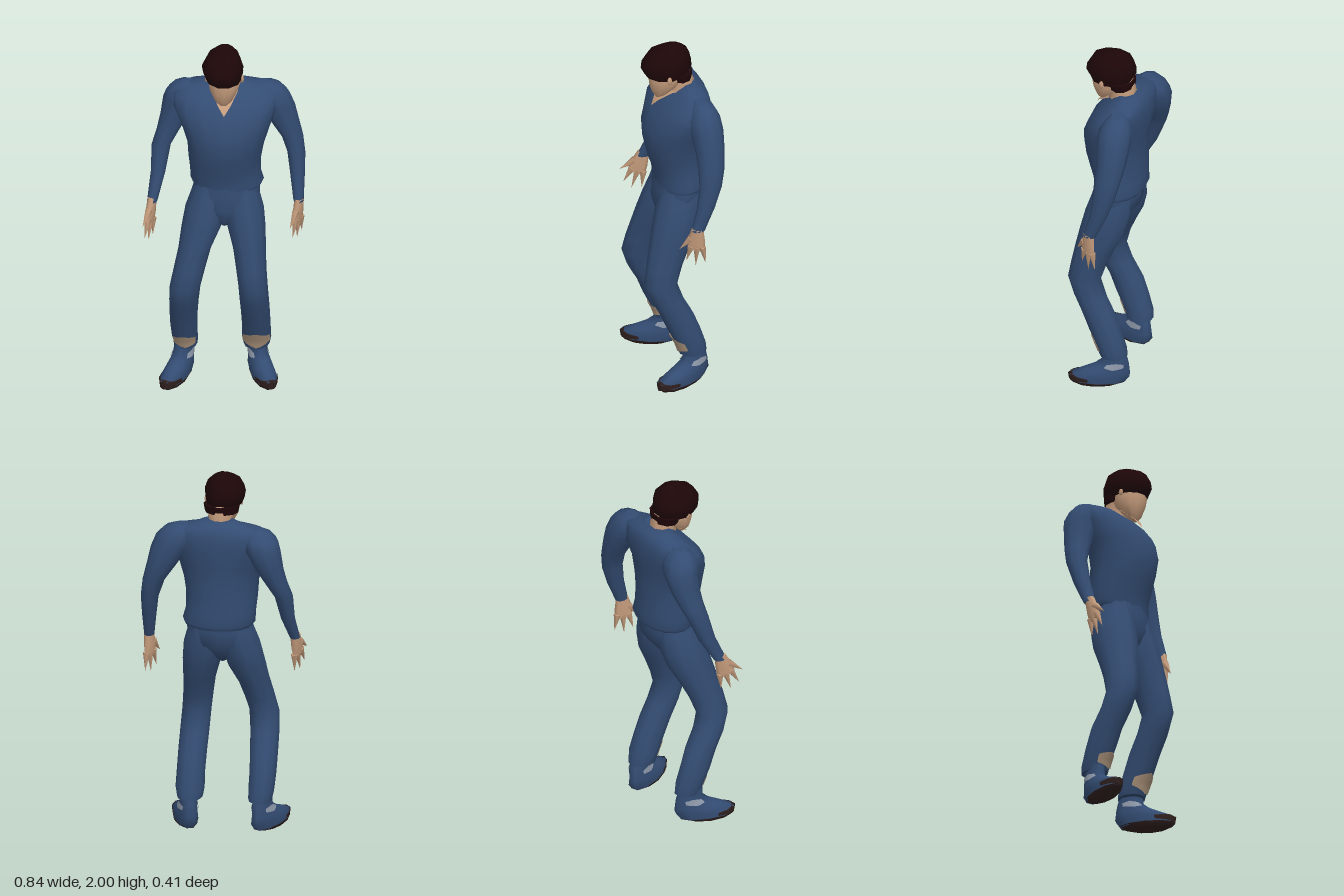
import * as THREE from 'three';
import { ParametricGeometry } from 'three/addons/geometries/ParametricGeometry.js';

const mat = (name, color, side = THREE.FrontSide) => {
  const m = new THREE.MeshStandardMaterial({ color, side });
  m.name = name;
  return m;
};
const TAU = Math.PI * 2, FRONT = Math.PI / 2;

// Point on an oval ring [y, cx, cz, rx, rz, squareness]
function onRing([y, cx, cz, rx, rz, p = 1], a, grow = 0) {
  const c = Math.cos(a), s = Math.sin(a);
  return [cx + Math.sign(c) * Math.abs(c) ** p * (rx + grow), y, cz + Math.sign(s) * Math.abs(s) ** p * (rz + grow)];
}

// Closed smooth skin over rings listed bottom to top, with flat end caps
function loft(rings, sides = 10) {
  const pos = [], idx = [];
  for (const r of rings) for (let j = 0; j < sides; j++) pos.push(...onRing(r, TAU * j / sides));
  for (let i = 0; i < rings.length - 1; i++) {
    for (let j = 0; j < sides; j++) {
      const k = (j + 1) % sides, a = i * sides, b = a + sides;
      idx.push(a + j, b + j, a + k, b + j, b + k, a + k);
    }
  }
  [rings[0], rings[rings.length - 1]].forEach((r, top) => {
    const c = pos.length / 3;
    pos.push(r[1], r[0], r[2]);
    for (let j = 0; j < sides; j++) pos.push(...onRing(r, TAU * j / sides));
    for (let j = 0; j < sides; j++) {
      const p = c + 1 + j, q = c + 1 + (j + 1) % sides;
      idx.push(c, top ? q : p, top ? p : q);
    }
  });
  const g = new THREE.BufferGeometry();
  g.setAttribute('position', new THREE.Float32BufferAttribute(pos, 3));
  g.setIndex(idx);
  g.computeVertexNormals();
  return g;
}

// Thin patch lying on a loft, tapering in height towards its two sides by `taper`
function patch(rings, angle, half, y0, y1, taper, grow = .004) {
  return new ParametricGeometry((u, v, target) => {
    const h = 1 - taper * Math.abs(2 * u - 1);
    const y = (y0 + y1) / 2 + (v - .5) * (y1 - y0) * h;
    let i = 0;
    while (i < rings.length - 2 && rings[i + 1][0] < y) i++;
    const t = (y - rings[i][0]) / (rings[i + 1][0] - rings[i][0]);
    const ring = rings[i].map((n, k) => n + (rings[i + 1][k] - n) * t);
    target.set(...onRing(ring, angle + (2 * u - 1) * half, grow));
  }, 6, 4);
}

export function createModel() {
  const root = new THREE.Group();
  const blue = mat('blue cloth', 0x334c72);
  const skin = mat('skin', 0xc69d7d);
  const hairMat = mat('dark hair', 0x1d0608);
  const soleMat = mat('brown sole', 0x30211f, THREE.DoubleSide);
  const shin = mat('bare shin', 0xa99179, THREE.DoubleSide);
  const grey = mat('grey sock', 0x8d97a8, THREE.DoubleSide);
  const add = (name, geo, material, parent = root) => {
    const m = new THREE.Mesh(geo, material);
    m.name = name;
    parent.add(m);
    return m;
  };

  // Shirt and trousers seat
  add('shirt', loft([
    [1.165, .015, -.03, .178, .128], [1.19, .012, -.035, .192, .137], [1.25, .003, -.03, .185, .138],
    [1.33, 0, -.015, .19, .15], [1.42, .005, -.005, .2, .16], [1.52, .005, -.005, .23, .163],
    [1.62, 0, -.035, .27, .15, .92], [1.69, 0, -.06, .275, .118, .88], [1.73, .005, -.082, .23, .086, .88],
    [1.75, .005, -.08, .13, .065], [1.77, .008, -.076, .086, .042],
  ], 16), blue);
  add('hips', loft([
    [.94, 0, .015, .02, .03], [.98, 0, .01, .07, .08], [1.06, .005, -.01, .18, .124],
    [1.14, .01, -.02, .174, .126], [1.2, .01, -.02, .165, .122],
  ], 12), blue);

  // Open collar: thin skin wedge on the chest
  const vee = new THREE.BufferGeometry();
  vee.setAttribute('position', new THREE.Float32BufferAttribute([
    0, 1.64, .117, .035, 1.69, .085, .072, 1.745, .012, 0, 1.75, .04,
    -.062, 1.745, .012, -.035, 1.69, .085,
  ], 3));
  vee.setIndex([0, 1, 5, 1, 3, 5, 1, 2, 3, 5, 3, 4]);
  vee.computeVertexNormals();
  add('neckline', vee, skin);

  // Head
  add('neck', loft([
    [1.68, .005, -.03, .066, .064], [1.775, .005, -.044, .064, .07], [1.85, 0, -.01, .065, .08],
  ]), skin);
  add('face', loft([
    [1.69, -.004, .07, .022, .02], [1.72, -.004, .064, .05, .045], [1.765, -.003, .045, .074, .08],
    [1.81, 0, .035, .086, .096], [1.87, 0, .03, .088, .1],
  ], 12), skin);
  add('hair', loft([
    [1.825, -.003, .03, .094, .112], [1.86, -.008, .032, .104, .136], [1.9, -.01, .03, .109, .132],
    [1.95, -.006, .022, .088, .112], [1.985, 0, .005, .046, .06], [2, 0, -.005, .01, .015],
  ], 10), hairMat);
  add('backHair', loft([
    [1.8, 0, -.035, .088, .066], [1.84, 0, -.03, .096, .073],
  ], 10), hairMat);
  for (const s of [-1, 1]) {
    const ear = add('ear', new THREE.SphereGeometry(.02, 6, 5), skin);
    ear.scale.set(.4, 1.2, .7);
    ear.position.set(s * .094, 1.832, .045);
  }

  // Sleeves, hanging at slightly different angles
  const sleeves = {
    left: [
      [1.07, .386, -.015, .027, .036], [1.2, .379, -.06, .038, .048], [1.32, .372, -.088, .047, .06],
      [1.42, .349, -.1, .058, .07], [1.52, .303, -.105, .08, .078], [1.61, .265, -.1, .098, .088],
      [1.68, .23, -.095, .105, .085], [1.725, .215, -.095, .077, .06], [1.743, .2, -.09, .04, .03],
    ],
    right: [
      [1.08, -.378, .035, .027, .034], [1.22, -.35, -.03, .038, .047], [1.36, -.335, -.075, .05, .058],
      [1.44, -.3, -.095, .06, .068], [1.53, -.263, -.11, .077, .08], [1.63, -.23, -.115, .096, .094],
      [1.68, -.215, -.1, .095, .085], [1.72, -.2, -.095, .075, .06], [1.738, -.19, -.09, .04, .03],
    ],
  };

  // Hands: flat palm, three broad pointed fingers and a thumb, fanned along local z
  const hand = (name, position, rotation) => {
    const g = new THREE.Group();
    g.name = name;
    add('palm', loft([[-.11, 0, .002, .013, .046], [-.055, 0, .004, .02, .047], [.025, 0, 0, .024, .03]], 8), skin, g);
    const digit = (part, r, len, y, z, lean) => {
      const m = add(part, new THREE.ConeGeometry(r, len, 5).rotateX(Math.PI).translate(0, -len / 2, 0), skin, g);
      m.position.set(0, y, z);
      m.rotation.x = lean;
    };
    [.1, .12, .1].forEach((len, i) => {
      const z = -.03 + i * .03;
      digit('finger', .02, len, -.09, z, -z * 7);
    });
    digit('thumb', .022, .1, -.04, .03, -.65);
    g.position.set(...position);
    g.rotation.set(...rotation);
    root.add(g);
  };
  hand('leftHand', [.388, 1.06, -.01], [-.05, -.45, -.05]);
  hand('rightHand', [-.38, 1.075, .04], [-.3, -.4, -.08]);

  // Legs with bent knees
  const legs = {
    left: [
      [.18, .165, -.055, .068, .076], [.23, .165, -.045, .077, .08], [.32, .165, -.01, .075, .088],
      [.42, .162, .03, .076, .09], [.52, .158, .08, .077, .088], [.62, .153, .115, .077, .088],
      [.72, .142, .092, .08, .096], [.82, .132, .062, .086, .108], [.93, .115, .025, .1, .124],
      [1.04, .098, 0, .107, .125], [1.13, .085, -.015, .095, .112], [1.19, .085, -.02, .08, .1],
    ],
    right: [
      [.18, -.205, -.045, .062, .074], [.23, -.21, -.035, .068, .08], [.32, -.214, 0, .071, .088],
      [.42, -.214, .035, .074, .09], [.52, -.21, .09, .077, .088], [.62, -.203, .122, .08, .088],
      [.72, -.18, .1, .082, .096], [.82, -.155, .068, .085, .108], [.93, -.122, .03, .103, .124],
      [1.04, -.098, 0, .107, .125], [1.13, -.08, -.015, .093, .112], [1.19, -.075, -.02, .08, .1],
    ],
  };

  // Shoe rings, heel behind and toe in front
  const shoe = [
    [.02, 0, .02, .058, .146], [.06, 0, .008, .062, .164], [.09, 0, -.025, .056, .126],
    [.12, 0, -.055, .05, .092], [.15, 0, -.07, .045, .07], [.22, 0, -.06, .045, .058],
  ];
  const sole = [[0, 0, .035, .042, .095], [.01, 0, .03, .055, .125], [.026, 0, .019, .061, .152]];
  const feet = { left: [.195, 0, .35], right: [-.245, .025, -.42] };
  const shins = { left: [FRONT, 1.1, .19, .3, .6], right: [FRONT, .95, .19, .275, .5] };

  for (const side of ['left', 'right']) {
    add(side + 'Sleeve', loft(sleeves[side], 10), blue);
    add(side + 'TrouserLeg', loft(legs[side], 10), blue);
    add(side + 'Shin', patch(legs[side], ...shins[side]), shin);
    const foot = new THREE.Group();
    foot.name = side + 'Foot';
    add('shoe', loft(shoe, 10), blue, foot);
    add('sole', loft(sole, 10), soleMat, foot);
    add('toeCap', patch(shoe, FRONT, 1.2, .021, .07, .6), soleMat, foot);
    for (const a of [0, Math.PI]) add('sockPatch', patch(shoe, a - .1, .6, .115, .155, .5), grey, foot);
    foot.position.set(feet[side][0], 0, feet[side][1]);
    foot.rotation.y = feet[side][2];
    root.add(foot);
  }
  return root;
}
